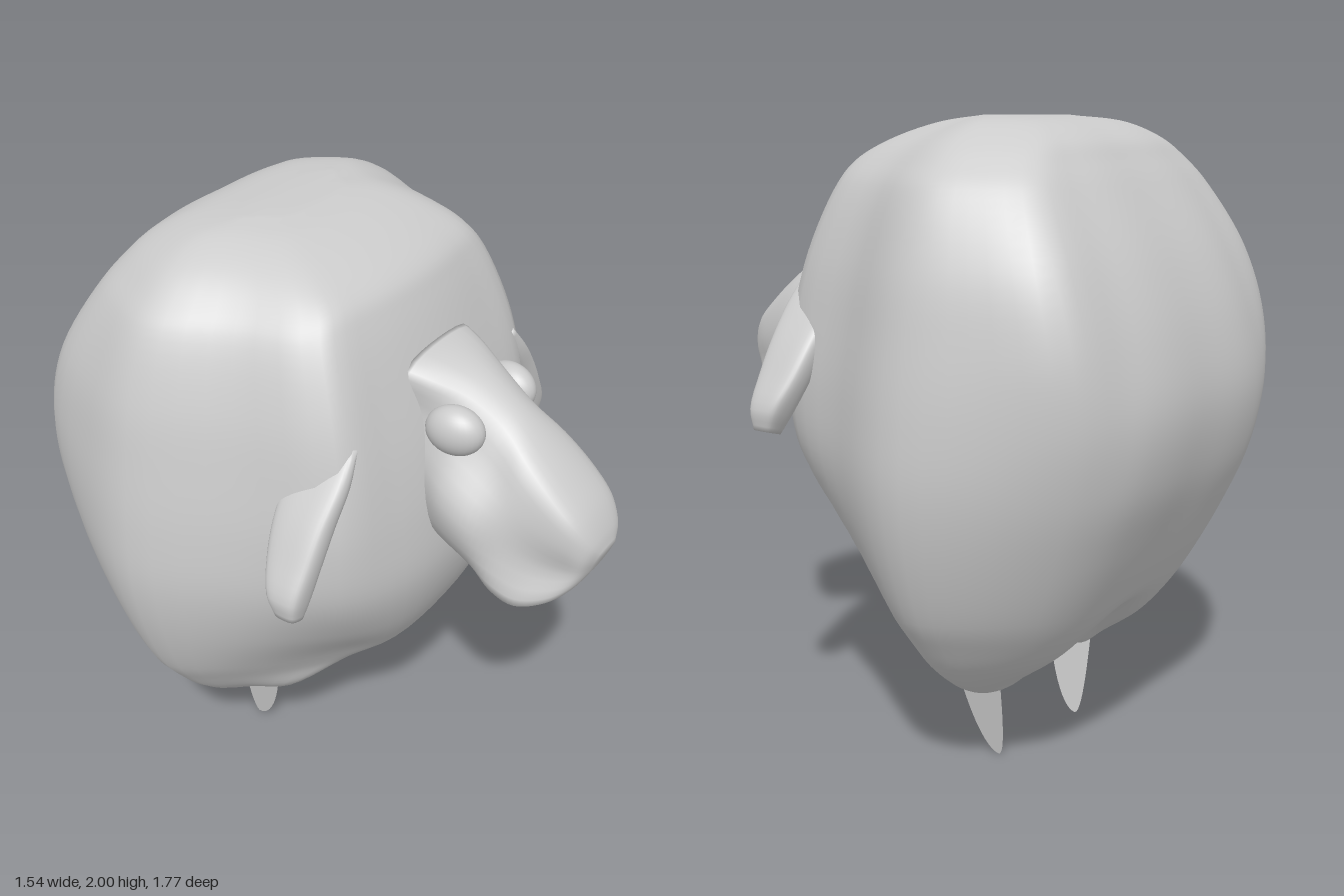
import * as THREE from 'three';

const grey = new THREE.MeshStandardMaterial({ color: 0xcccccc });
const thin = new THREE.MeshStandardMaterial({ color: 0xcccccc, side: THREE.DoubleSide });
const V = (x, y, z) => new THREE.Vector3(x, y, z);

// Smooth closed skin through a list of control rings, with both ends capped
function loft(rings, around, along, rule) {
  const dense = rings.map((r) => {
    const c = new THREE.CatmullRomCurve3(r, true);
    return Array.from({ length: around }, (_, i) => c.getPoint(i / around));
  });
  const columns = dense[0].map((_, i) => new THREE.CatmullRomCurve3(dense.map((r) => r[i])));
  const pts = [];
  for (let j = 0; j <= along; j++) for (const c of columns) pts.push(c.getPoint(j / along));
  for (const row of [0, along]) {
    const mid = V(0, 0, 0);
    for (let i = 0; i < around; i++) mid.addScaledVector(pts[row * around + i], 1 / around);
    pts.push(mid);
  }
  if (rule) pts.forEach(rule);
  const first = (along + 1) * around, tris = [];
  for (let i = 0; i < around; i++) {
    const n = (i + 1) % around;
    for (let j = 0; j < along; j++) {
      const a = j * around, b = a + around;
      tris.push([a + i, a + n, b + n], [a + i, b + n, b + i]);
    }
    tris.push([first, n, i], [first + 1, along * around + i, along * around + n]);
  }
  // keep the faces pointing outward whichever way the rings run
  const inner = pts[first].clone().lerp(pts[first + 1], 0.5);
  let volume = 0;
  for (const [a, b, c] of tris) {
    const [p, q, r] = [a, b, c].map((k) => pts[k].clone().sub(inner));
    volume += p.dot(q.cross(r));
  }
  if (volume < 0) tris.forEach((t) => t.reverse());
  const g = new THREE.BufferGeometry().setFromPoints(pts);
  g.setIndex(tris.flat());
  g.computeVertexNormals();
  return g;
}

function add(parent, name, geometry, material = grey) {
  const m = new THREE.Mesh(geometry, material);
  m.name = name;
  parent.add(m);
  return m;
}

// Body levels: [y, half width, front z, back z, breadth of the belly, squareness]
function bodyGeometry() {
  const levels = [
    [0.26, 0.12, -0.17, -0.32, 1, 0], [0.24, 0.26, -0.14, -0.35, 1, 0], [0.3, 0.4, -0.08, -0.41, 1, 0],
    [0.4, 0.52, 0.02, -0.53, 0.95, 0], [0.5, 0.6, 0.13, -0.61, 0.7, 0], [0.6, 0.665, 0.24, -0.67, 0.6, 0],
    [0.8, 0.735, 0.355, -0.77, 0.8, 0], [1.0, 0.768, 0.41, -0.85, 0.95, 0.1], [1.2, 0.762, 0.405, -0.88, 1, 0.4],
    [1.4, 0.735, 0.37, -0.845, 1, 0.8], [1.6, 0.695, 0.31, -0.765, 1, 1], [1.8, 0.615, 0.235, -0.645, 1, 0.8],
    [1.87, 0.55, 0.195, -0.595, 1, 0.7], [1.93, 0.47, 0.1, -0.545, 1, 0.5], [1.98, 0.35, -0.04, -0.45, 1, 0.3],
    [2.0, 0.2, -0.15, -0.3, 1, 0]];
  const rings = levels.map(([y, w, f, b, k, s]) => {
    const half = [[0, 1], [0.4 * k, 0.96], [0.67 * k, 0.81 + 0.08 * s], [0.82, 0.22 + 0.22 * k], [1, 0],
      [0.9 + 0.04 * s, -0.43], [0.69 + 0.1 * s, -0.81 - 0.05 * s], [0.52, -0.95], [0.3, -1], [0, -1]];
    const plan = [...half, ...half.slice(1, -1).reverse().map(([x, z]) => [-x, z])];
    const m = Math.max(b + 0.05, Math.min(f - 0.05, -0.29));
    return plan.map(([x, z]) => V(x * w, y, m + (z > 0 ? z * (f - m) : z * (m - b))));
  });
  // hollow between the thighs
  return loft(rings, 72, 84, (p) => {
    const low = 1 - THREE.MathUtils.smoothstep(p.y, 0.25, 0.6);
    p.y += 0.15 * low * Math.exp(-((p.x / 0.14) ** 2));
  });
}

// Head: [top z, top y, bottom z, bottom y, then half widths of brow, temple, cheek, jaw]
function headGeometry() {
  const cuts = [
    [0.28, 1.69, 0.2, 1.2, 0.165, 0.165, 0.17, 0.12], [0.35, 1.675, 0.32, 1.1, 0.14, 0.15, 0.18, 0.14],
    [0.45, 1.635, 0.43, 1.07, 0.1, 0.15, 0.23, 0.17], [0.56, 1.565, 0.53, 1.03, 0.085, 0.15, 0.235, 0.18],
    [0.66, 1.485, 0.61, 0.99, 0.11, 0.16, 0.19, 0.2], [0.76, 1.395, 0.68, 0.97, 0.12, 0.15, 0.15, 0.19],
    [0.83, 1.32, 0.76, 1.0, 0.11, 0.13, 0.12, 0.15], [0.87, 1.25, 0.82, 1.06, 0.08, 0.1, 0.1, 0.1],
    [0.885, 1.2, 0.855, 1.12, 0.04, 0.05, 0.05, 0.04]];
  const rings = cuts.map(([tz, ty, bz, by, brow, temple, cheek, jaw]) => {
    const at = (x, t) => V(x, ty + (by - ty) * t, tz + (bz - tz) * t);
    const side = [[brow, 0.07], [temple, 0.28], [cheek, 0.58], [jaw, 0.9]];
    return [at(0, 0), ...side.map(([x, t]) => at(x, t)), at(0, 1),
      ...side.reverse().map(([x, t]) => at(-x, t))];
  });
  return loft(rings, 40, 40);
}

// Ear flap: [y, centre x, half thickness, back z, front z]
function flapGeometry() {
  const cuts = [
    [1.53, 0.42, 0.015, 0.12, 0.295], [1.44, 0.48, 0.035, 0.115, 0.305], [1.34, 0.55, 0.045, 0.118, 0.3],
    [1.24, 0.61, 0.047, 0.135, 0.295], [1.14, 0.66, 0.048, 0.17, 0.285], [1.08, 0.67, 0.032, 0.2, 0.272]];
  const soften = (v) => Math.sign(v) * Math.abs(v) ** 0.6;
  const rings = cuts.map(([y, x, t, b, f]) => Array.from({ length: 12 }, (_, i) => {
    const a = (i / 12) * Math.PI * 2, c = soften(Math.cos(a)) * t;
    return V(x + c, y + c * 0.3, (b + f) / 2 + soften(Math.sin(a)) * (f - b) / 2);
  }));
  return loft(rings, 36, 20);
}

// Foot: paper-thin pointed blade drawn in z and y, leaning outward
function footGeometry(side) {
  const shift = side > 0 ? 0 : -0.035;
  const outline = new THREE.Shape();
  outline.moveTo(-0.14, 0.32);
  outline.bezierCurveTo(-0.17, 0.14, -0.23, 0, -0.285, 0);
  outline.bezierCurveTo(-0.31, 0.01, -0.315, 0.15, -0.315, 0.32);
  const g = new THREE.ShapeGeometry(outline, 12);
  const p = g.attributes.position;
  for (let i = 0; i < p.count; i++) {
    const z = p.getX(i) + shift, y = p.getY(i);
    p.setXYZ(i, side * (0.2 + y * 0.15), y, z);
  }
  g.computeVertexNormals();
  return g;
}

export function createModel() {
  const model = new THREE.Group();
  model.name = 'animal';
  add(model, 'body', bodyGeometry());
  add(model, 'head', headGeometry());
  for (const side of [1, -1]) {
    const label = side > 0 ? 'left' : 'right';
    const eye = add(model, label + 'Eye', new THREE.SphereGeometry(1, 28, 20));
    eye.scale.set(0.06, 0.076, 0.09);
    eye.position.set(side * 0.15, 1.51, 0.44);
    eye.rotation.y = side * -0.15;
    const ear = add(model, label + 'Ear', flapGeometry());
    ear.scale.x = side;
    add(model, label + 'Foot', footGeometry(side), thin);
  }
  return model;
}
